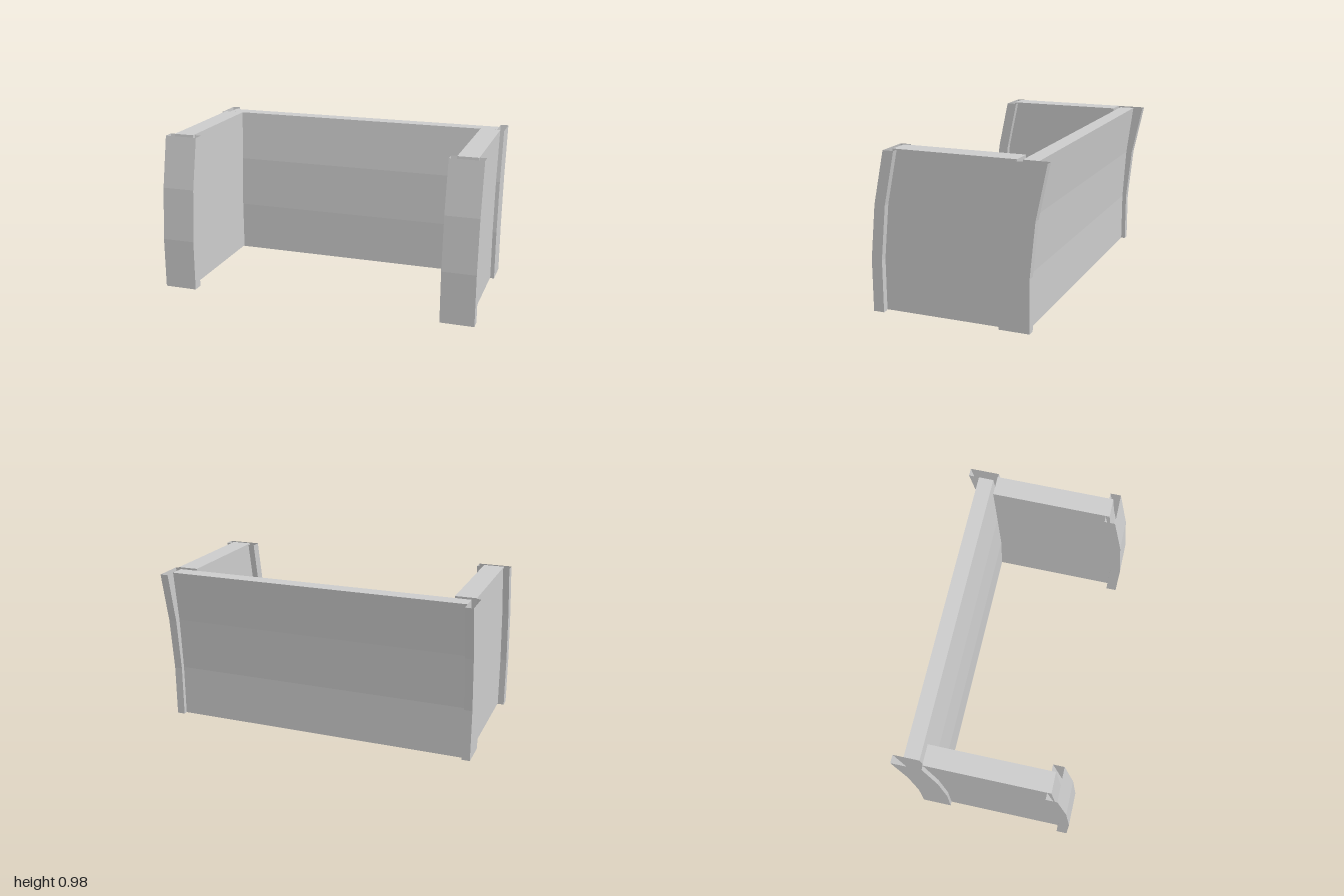
import * as THREE from 'three';

const sheetMat = new THREE.MeshStandardMaterial({ color: 0xcccccc, flatShading: true, side: THREE.DoubleSide });
const solidMat = new THREE.MeshStandardMaterial({ color: 0xcccccc, flatShading: true });

// Backward lean of the posts: [height, z shift]
const lean = [[0, 0], [0.32, 0], [0.65, -0.033], [0.97, -0.1]];

// Thin folded sheet: an open [x, z] section carried up the leaning levels
function channel(name, section) {
  const pos = [], idx = [], n = section.length;
  for (const [y, dz] of lean) for (const [x, z] of section) pos.push(x, y, z + dz);
  for (let j = 0; j < lean.length - 1; j++) {
    for (let i = 0; i < n - 1; i++) {
      const a = j * n + i, b = a + 1, c = a + n, d = c + 1;
      idx.push(a, b, d, a, d, c);
    }
  }
  let geo = new THREE.BufferGeometry();
  geo.setAttribute('position', new THREE.Float32BufferAttribute(pos, 3));
  geo.setIndex(idx);
  geo = geo.toNonIndexed();
  geo.computeVertexNormals();
  const mesh = new THREE.Mesh(geo, sheetMat);
  mesh.name = name;
  return mesh;
}

// Solid panel: a [z, y] outline extruded across x from x0 to x1
function panel(name, outline, x0, x1) {
  const shape = new THREE.Shape(outline.map(([z, y]) => new THREE.Vector2(z, y)));
  const geo = new THREE.ExtrudeGeometry(shape, { depth: x1 - x0, bevelEnabled: false });
  geo.rotateY(-Math.PI / 2);
  geo.translate(x1, 0, 0);
  const mesh = new THREE.Mesh(geo, solidMat);
  mesh.name = name;
  return mesh;
}

export function createModel() {
  const group = new THREE.Group();
  group.name = 'threeSidedEnclosure';

  // Bent back panel
  group.add(panel('backPanel', [
    [-0.41, 0], [-0.315, 0], [-0.315, 0.32], [-0.335, 0.65], [-0.378, 0.97],
    [-0.472, 0.97], [-0.43, 0.65], [-0.41, 0.32],
  ], -0.935, 0.935));

  for (const [side, s] of [['left', 1], ['right', -1]]) {
    // Side panel
    const [x0, x1] = s > 0 ? [0.833, 0.96] : [-0.96, -0.833];
    group.add(panel(side + 'SidePanel', [
      [-0.32, 0.005], [0.478, 0.005], [0.478, 0.32], [0.437, 0.65], [0.395, 0.975],
      [-0.355, 0.975], [-0.335, 0.65], [-0.32, 0.32],
    ], x0, x1));

    // Open channel wrapping the front edge of the side panel
    group.add(channel(side + 'FrontPost', [
      [0.833, 0.47], [0.793, 0.47], [0.793, 0.537], [1, 0.537], [1, 0.47], [0.96, 0.47],
    ].map(([x, z]) => [s * x, z])));

    // Open corner channel joining side and back panels
    group.add(channel(side + 'CornerPost', [
      [0.96, -0.253], [0.985, -0.253], [0.985, -0.437], [0.935, -0.437], [0.935, -0.37],
    ].map(([x, z]) => [s * x, z])));
  }
  return group;
}
